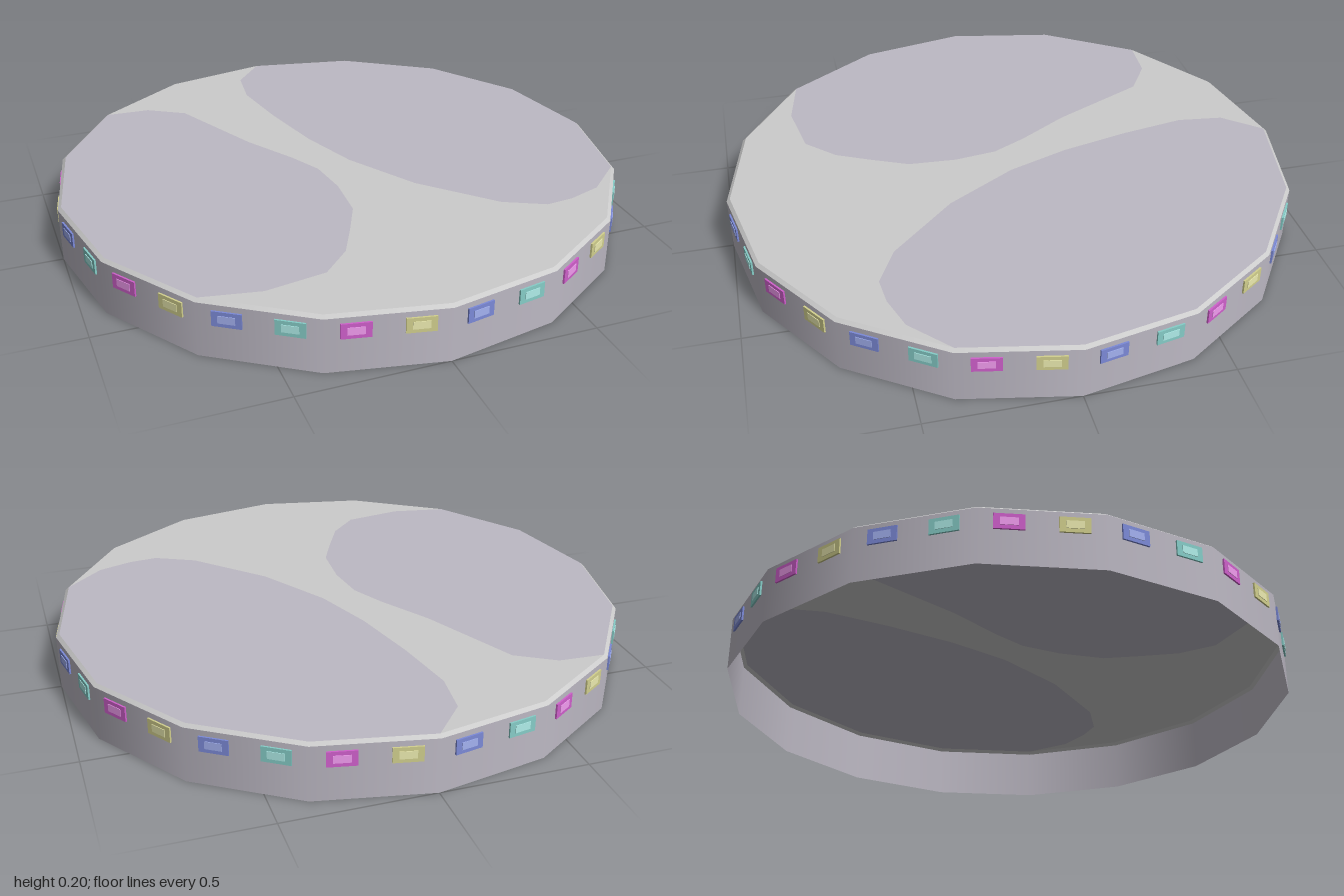
import * as THREE from 'three';

const SIDES = 16, HEIGHT = 0.2, BEVEL = 0.01, RIM = 0.988;
const APOTHEM = Math.cos(Math.PI / SIDES);

const mat = (color) => new THREE.MeshStandardMaterial({ color, side: THREE.DoubleSide });

// Corners of the top rim as [x, z], counted from the front towards +x
function rimCorners(from, to) {
  const points = [];
  for (let k = from; k <= to; k++) {
    const a = (k * 2 * Math.PI) / SIDES;
    points.push([RIM * Math.sin(a), RIM * Math.cos(a)]);
  }
  return points;
}

// Flat region of the top, outlined by [x, z] points
function topRegion(name, points, material) {
  const shape = new THREE.Shape(points.map(([x, z]) => new THREE.Vector2(x, -z)));
  const mesh = new THREE.Mesh(new THREE.ShapeGeometry(shape).rotateX(-Math.PI / 2), material);
  mesh.position.y = HEIGHT;
  mesh.name = name;
  return mesh;
}

function ring(name, rTop, rBottom, y0, y1, material) {
  const geometry = new THREE.CylinderGeometry(rTop, rBottom, y1 - y0, SIDES, 1, true);
  const mesh = new THREE.Mesh(geometry, material);
  mesh.position.y = (y0 + y1) / 2;
  mesh.name = name;
  return mesh;
}

export function createModel() {
  const model = new THREE.Group();
  model.name = 'discPlatform';
  const grey = mat(0xcccccc);
  const tinted = mat(0xbdb9c4);

  // Open-bottomed side wall and narrow bevel
  model.add(ring('sideWall', 1, 1, 0, HEIGHT - BEVEL, tinted));
  model.add(ring('rimBevel', RIM, 1, HEIGHT - BEVEL, HEIGHT, grey));

  // Inner outlines of the two tinted patches, from back to front
  const rightEdge = [
    [-0.54, -0.69], [-0.41, -0.61], [-0.25, -0.27], [-0.14, -0.09], [-0.08, 0.03], [-0.06, 0.18],
    [-0.07, 0.35], [-0.13, 0.48], [-0.19, 0.6], [-0.29, 0.7], [-0.5, 0.735],
  ];
  const leftEdge = [
    [-0.11, -0.86], [-0.13, -0.7], [-0.09, -0.47], [-0.03, -0.22], [0.05, 0], [0.2, 0.25],
    [0.42, 0.48], [0.56, 0.55], [0.66, 0.54], [0.78, 0.5],
  ];

  // Top surface: two patches and the grey strip between them
  model.add(topRegion('rightPatch', [...rimCorners(10, 14), ...[...rightEdge].reverse()], tinted));
  model.add(topRegion('leftPatch', [...rimCorners(3, 8), ...leftEdge], tinted));
  model.add(topRegion('topStrip', [
    ...rimCorners(14, 19), ...[...leftEdge].reverse(), ...rimCorners(8, 10), ...rightEdge,
  ], grey));

  // Coloured lights, two on each side, each a frame with a brighter centre
  const colors = [[0x7c8ad8, 0xa4b2f2], [0x86cdc8, 0xb0eeea], [0xd060cc, 0xf29cf0], [0xd2d08e, 0xecebb0]]
    .map((pair) => pair.map((c) => new THREE.MeshStandardMaterial({ color: c })));
  const frame = new THREE.BoxGeometry(0.095, 0.052, 0.006);
  const centre = new THREE.BoxGeometry(0.055, 0.026, 0.008);
  const offset = Math.sin(Math.PI / SIDES) / 2;
  for (let side = 0; side < SIDES; side++) {
    const panel = new THREE.Group();
    panel.name = 'sideLights';
    panel.rotation.y = ((side + 0.5) * 2 * Math.PI) / SIDES;
    for (let i = 0; i < 2; i++) {
      const [outer, inner] = colors[(side * 2 + i) % 4];
      const light = new THREE.Group();
      light.name = 'light';
      light.position.set(i ? offset : -offset, 0.145, APOTHEM);
      const frameMesh = new THREE.Mesh(frame, outer);
      frameMesh.name = 'lightFrame';
      frameMesh.position.z = 0.0035;
      const centreMesh = new THREE.Mesh(centre, inner);
      centreMesh.name = 'lightCentre';
      centreMesh.position.z = 0.0045;
      light.add(frameMesh, centreMesh);
      panel.add(light);
    }
    model.add(panel);
  }
  return model;
}
